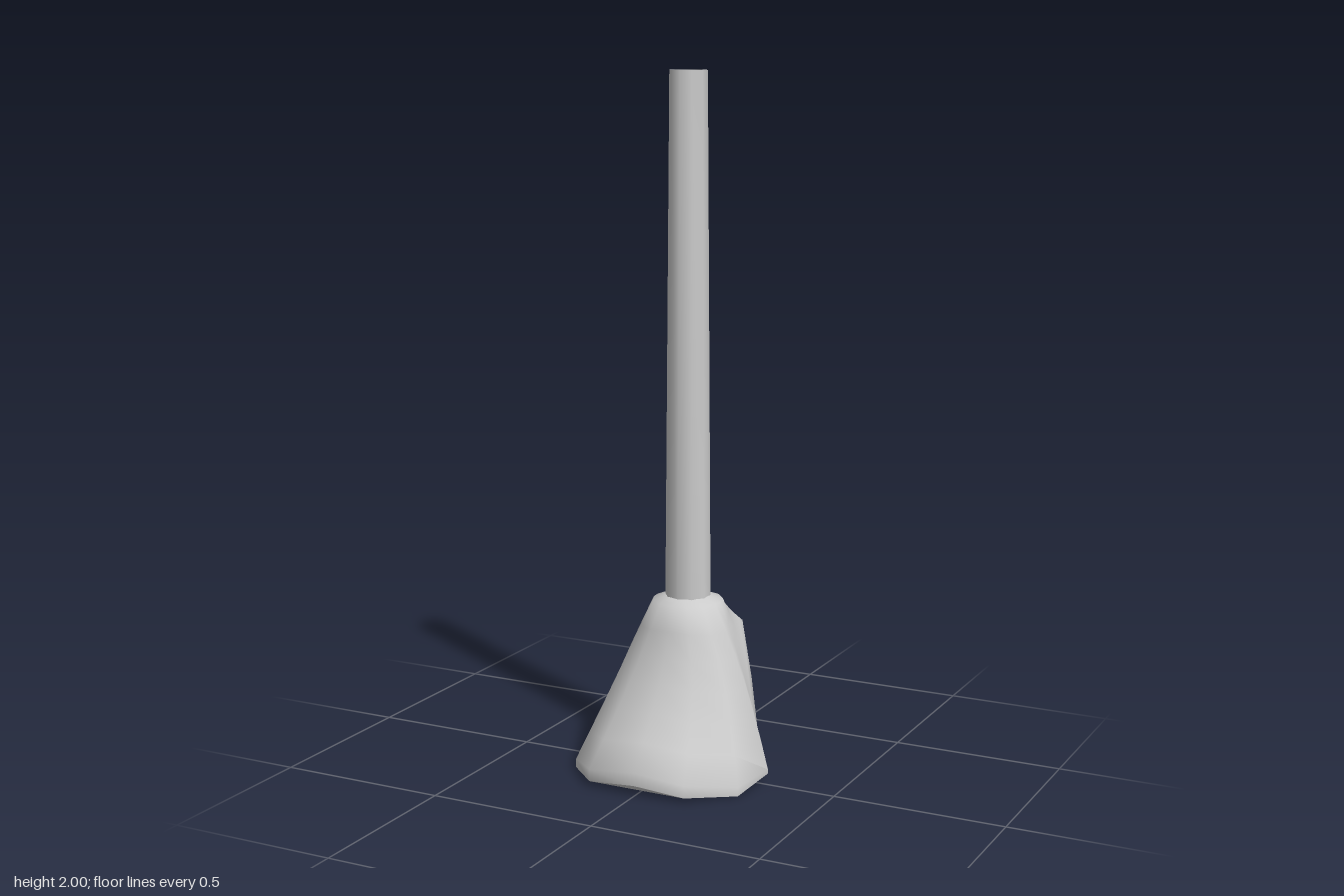
import * as THREE from 'three';
import { toCreasedNormals } from 'three/addons/utils/BufferGeometryUtils.js';

const material = new THREE.MeshStandardMaterial({ color: 0xcccccc });
const AXIS_Z = -0.085; // the pipe stands behind the centre

// Right half of the hood's lower rim, from the back to the front
const rim = [
  [0, 0.41, -0.255], [0.105, 0.395, -0.235], [0.168, 0.25, -0.165], [0.222, 0.1, -0.097],
  [0.288, 0.025, -0.02], [0.26, 0, 0.122], [0.15, 0.015, 0.24], [0, 0.03, 0.253],
].map((p) => new THREE.Vector3(...p));
const mirrorX = (p) => new THREE.Vector3(-p.x, p.y, p.z);

function toGeometry(points, index) {
  const geo = new THREE.BufferGeometry().setFromPoints(points);
  geo.setIndex(index);
  geo.computeVertexNormals();
  return geo;
}

// Hood: lofted from a round collar at the pipe to the slanted rim
function hoodGeometry() {
  const ring = [...rim, ...rim.slice(1, -1).reverse().map(mirrorX)];
  const n = ring.length, steps = 6, points = [], index = [];
  const rows = steps + 3;
  for (let j = 0; j < rows; j++) {
    ring.forEach((p) => {
      const dir = new THREE.Vector3(p.x, 0, p.z - AXIS_Z).normalize();
      const collar = (r, y) => new THREE.Vector3(dir.x * r, y, AXIS_Z + dir.z * r);
      const front = Math.max(0, dir.z);
      if (j === 0) return points.push(collar(0.06, 0.505));
      if (j === rows - 1) return points.push(p.clone());
      const t = (j - 1) / steps, bow = Math.sin(Math.PI * t);
      const edge = p.clone();
      edge.y += 0.005 + 0.033 * front; // short upright lip
      const q = collar(0.102, 0.49).lerp(edge, t);
      q.x += dir.x * 0.01 * bow * (1 - Math.max(0, -dir.z));
      q.z -= 0.038 * bow * front; // hollow front
      if (dir.z < 0) q.z -= 0.014 * bow * dir.z;
      points.push(q);
    });
  }
  for (let j = 0; j < rows - 1; j++) {
    for (let k = 0; k < n; k++) {
      const a = j * n + k, b = j * n + (k + 1) % n;
      index.push(a, b, a + n, b, b + n, a + n);
    }
  }
  return toCreasedNormals(toGeometry(points, index), 1.0);
}

// Underside: strips across the rim, steep at the back and flat at the front
function undersideGeometry() {
  const points = [], index = [];
  rim.forEach((p, i) => {
    points.push(mirrorX(p), p.clone());
    if (i < rim.length - 1) {
      const a = 2 * i;
      index.push(a, a + 1, a + 2, a + 1, a + 3, a + 2);
    }
  });
  return toCreasedNormals(toGeometry(points, index), 0.5);
}

// Pipe: ten-sided, tapering, with a hollow in its top
function pipeGeometry() {
  const profile = [[0, 0.03], [0.07, 0.03], [0.054, 2], [0.04, 2], [0.034, 1.93], [0, 1.9]];
  const geo = new THREE.LatheGeometry(profile.map(([r, y]) => new THREE.Vector2(r, y)), 10);
  return toCreasedNormals(geo, 0.7).translate(0, 0, AXIS_Z);
}

export function createModel() {
  const group = new THREE.Group();
  const add = (name, geometry) => {
    const mesh = new THREE.Mesh(geometry, material);
    mesh.name = name;
    group.add(mesh);
  };
  add('pipe', pipeGeometry());
  add('hood', hoodGeometry());
  add('hoodUnderside', undersideGeometry());
  return group;
}
